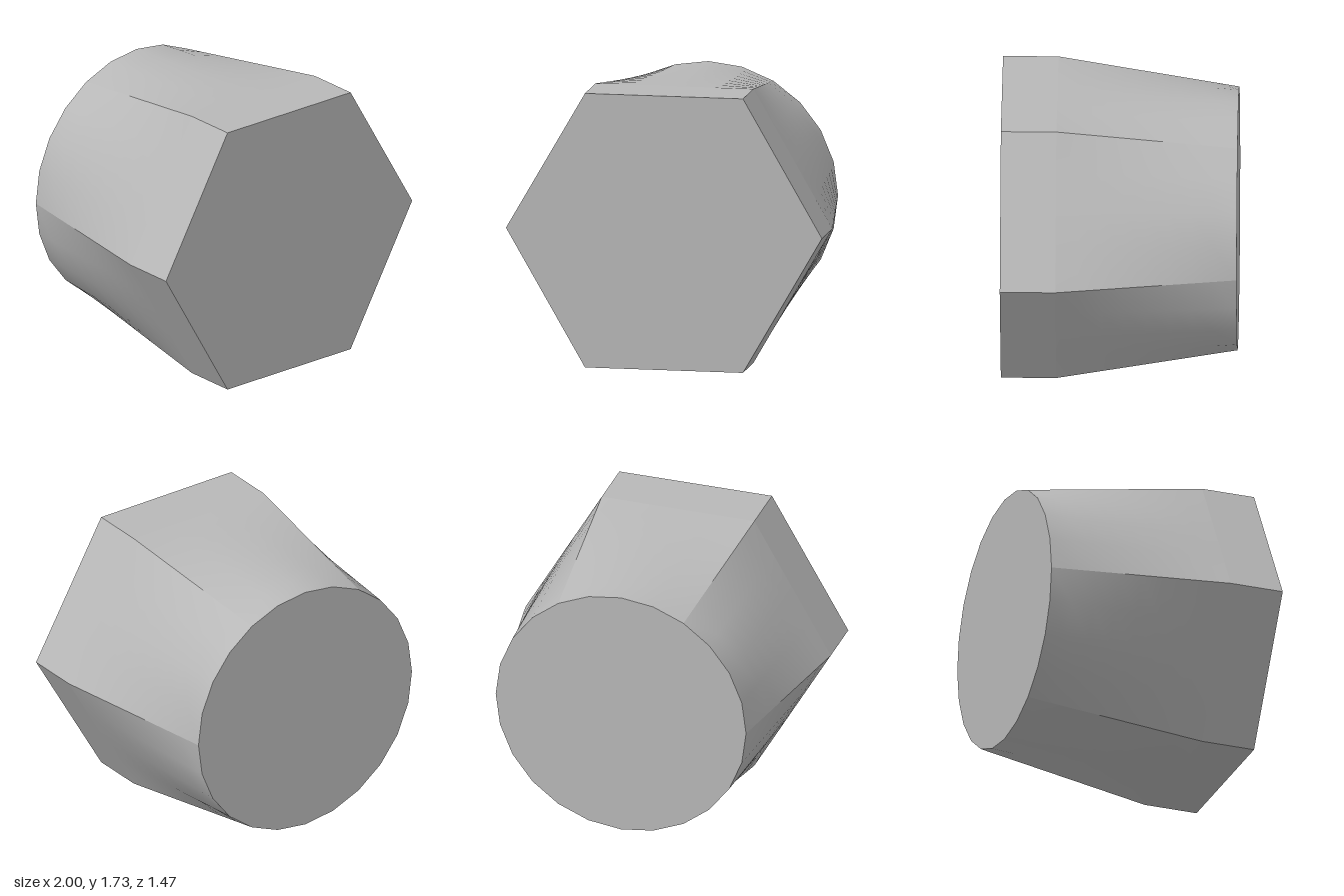
import * as THREE from 'three';

const CENTER_Y = 0.866, ROUND_R = 0.82;
const Z_FRONT = 0.735, Z_BEND = 0.39, Z_BACK = -0.735;
const SEGS = 4; // segments per hexagon side

// Point on side s of the hexagon (blend 0) or of the circle (blend 1)
function outline(s, u, blend) {
  const a0 = (s * Math.PI) / 3, a1 = a0 + Math.PI / 3, a = a0 + (u * Math.PI) / 3;
  const hx = Math.cos(a0) * (1 - u) + Math.cos(a1) * u;
  const hy = Math.sin(a0) * (1 - u) + Math.sin(a1) * u;
  return [
    hx * (1 - blend) + Math.cos(a) * ROUND_R * blend,
    hy * (1 - blend) + Math.sin(a) * ROUND_R * blend,
  ];
}

// One side panel, smooth within itself, with sharp borders
function panel(s, z0, z1, endBlend, rows) {
  const pos = [], index = [];
  for (let j = 0; j <= rows; j++) {
    const t = j / rows;
    for (let i = 0; i <= SEGS; i++) {
      pos.push(...outline(s, i / SEGS, t * endBlend), z0 + (z1 - z0) * t);
      if (j < rows && i < SEGS) {
        const a = j * (SEGS + 1) + i, c = a + SEGS + 1;
        index.push(a, c, a + 1, a + 1, c, c + 1);
      }
    }
  }
  const g = new THREE.BufferGeometry();
  g.setAttribute('position', new THREE.Float32BufferAttribute(pos, 3));
  g.setIndex(index);
  g.computeVertexNormals();
  return g;
}

export function createModel() {
  const grey = new THREE.MeshStandardMaterial({ color: 0xb8b8b8 });
  grey.name = 'grey';
  const model = new THREE.Group();
  model.name = 'hexToRoundAdapter';
  const add = (name, geometry) => {
    const mesh = new THREE.Mesh(geometry, grey);
    mesh.name = name;
    mesh.position.y = CENTER_Y;
    model.add(mesh);
  };

  // Straight hexagonal collar and the taper blending it into a circle
  for (let s = 0; s < 6; s++) {
    add('hexCollarSide', panel(s, Z_FRONT, Z_BEND, 0, 1));
    add('taperSide', panel(s, Z_BEND, Z_BACK, 1, 8));
  }

  // End caps
  add('hexFrontCap', new THREE.CircleGeometry(1, 6).translate(0, 0, Z_FRONT));
  add('roundBackCap', new THREE.CircleGeometry(ROUND_R, 6 * SEGS).rotateY(Math.PI).translate(0, 0, Z_BACK));
  return model;
}
